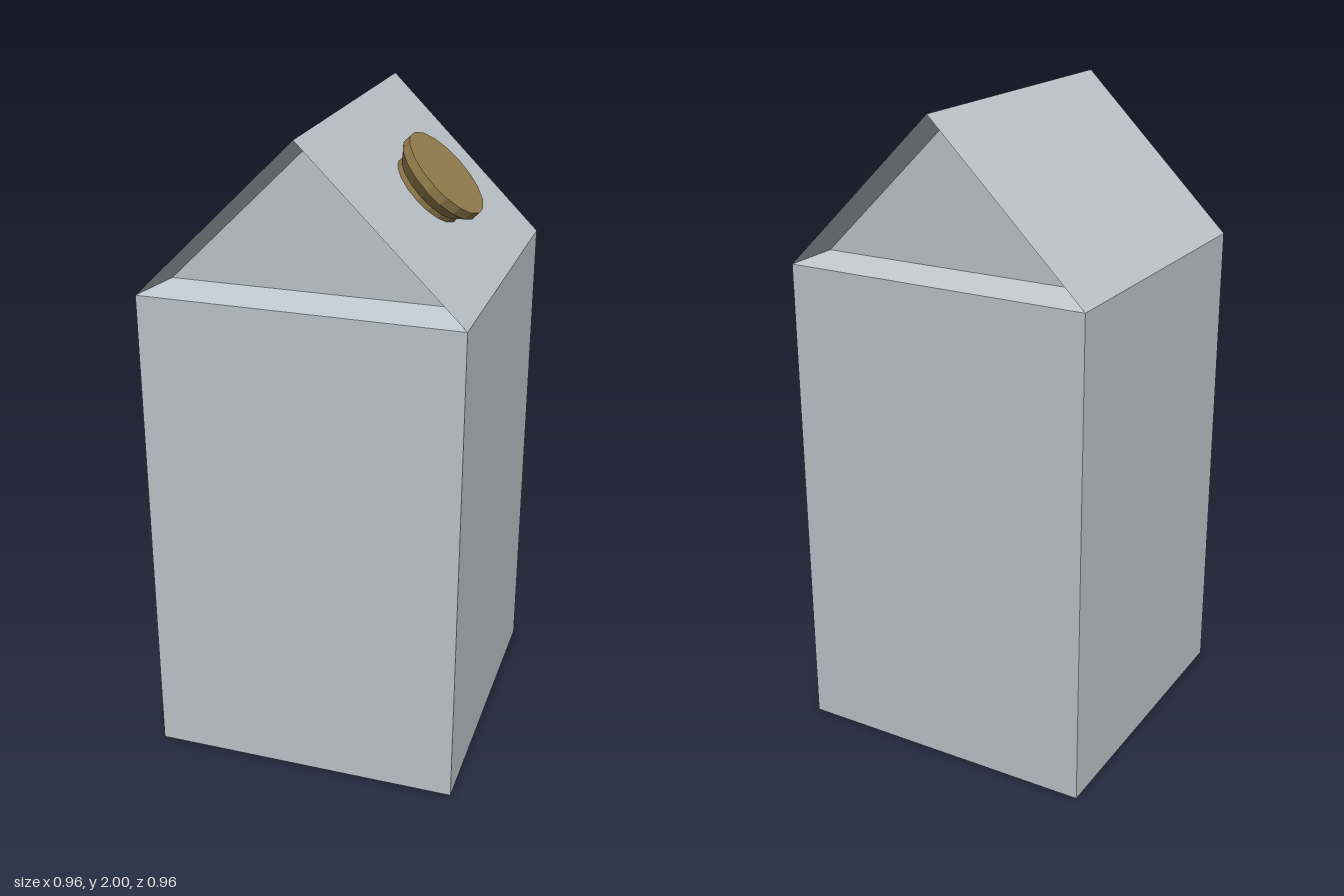
import * as THREE from 'three';

const HALF = 0.48, EAVE = 1.525, RIDGE = 2, RECESS = 0.08;

// Flat-faced geometry from convex polygons given as corner lists
function fromPolygons(polygons) {
  const pos = [];
  for (const p of polygons) {
    for (let i = 1; i < p.length - 1; i++) pos.push(...p[0], ...p[i], ...p[i + 1]);
  }
  const g = new THREE.BufferGeometry();
  g.setAttribute('position', new THREE.Float32BufferAttribute(pos, 3));
  g.computeVertexNormals();
  return g;
}

export function createModel() {
  const card = new THREE.MeshStandardMaterial({ color: 0xbdc6cc, flatShading: true });
  card.name = 'grey card';
  const brown = new THREE.MeshStandardMaterial({ color: 0x937d4c, flatShading: true });
  brown.name = 'brown plastic';

  const model = new THREE.Group();
  model.name = 'carton';
  const add = (parent, name, geometry, material) => {
    const mesh = new THREE.Mesh(geometry, material);
    mesh.name = name;
    parent.add(mesh);
    return mesh;
  };

  // Box body
  const body = add(model, 'body', new THREE.BoxGeometry(HALF * 2, EAVE, HALF * 2), card);
  body.position.y = EAVE / 2;

  // Gable end: outer triangle folding in to a recessed triangle
  const outer = [[-HALF, EAVE, HALF], [HALF, EAVE, HALF], [0, RIDGE, HALF]];
  const zIn = HALF - RECESS;
  const inner = [[-0.4, 1.56, zIn], [0.4, 1.56, zIn], [0, 1.955, zIn]];
  const gable = [inner];
  for (let i = 0; i < 3; i++) {
    const j = (i + 1) % 3;
    gable.push([outer[i], outer[j], inner[j], inner[i]]);
  }
  const slope = [outer[2], outer[1], [HALF, EAVE, -HALF], [0, RIDGE, -HALF]];

  // Each half turn carries one gable end and one roof slope
  const gableGeometry = fromPolygons(gable);
  const slopeGeometry = fromPolygons([slope]);
  ['front', 'back'].forEach((end, i) => {
    const half = new THREE.Group();
    half.name = end + 'RoofHalf';
    half.rotation.y = i * Math.PI;
    add(half, end + 'Gable', gableGeometry, card);
    add(half, i ? 'rightSlope' : 'leftSlope', slopeGeometry, card);
    model.add(half);
  });

  // Screw cap, square to the left roof slope: neck, flare and rim
  const cap = new THREE.Group();
  cap.name = 'cap';
  cap.position.set(0.2375, 1.7625, 0);
  cap.rotation.z = -Math.PI / 4;
  const profile = [[0, -0.01], [0.12, -0.01], [0.12, 0.018], [0.15, 0.053], [0.15, 0.081], [0, 0.081]]
    .map(([r, y]) => new THREE.Vector2(r, y));
  add(cap, 'screwCap', new THREE.LatheGeometry(profile, 18), brown);
  model.add(cap);

  return model;
}
